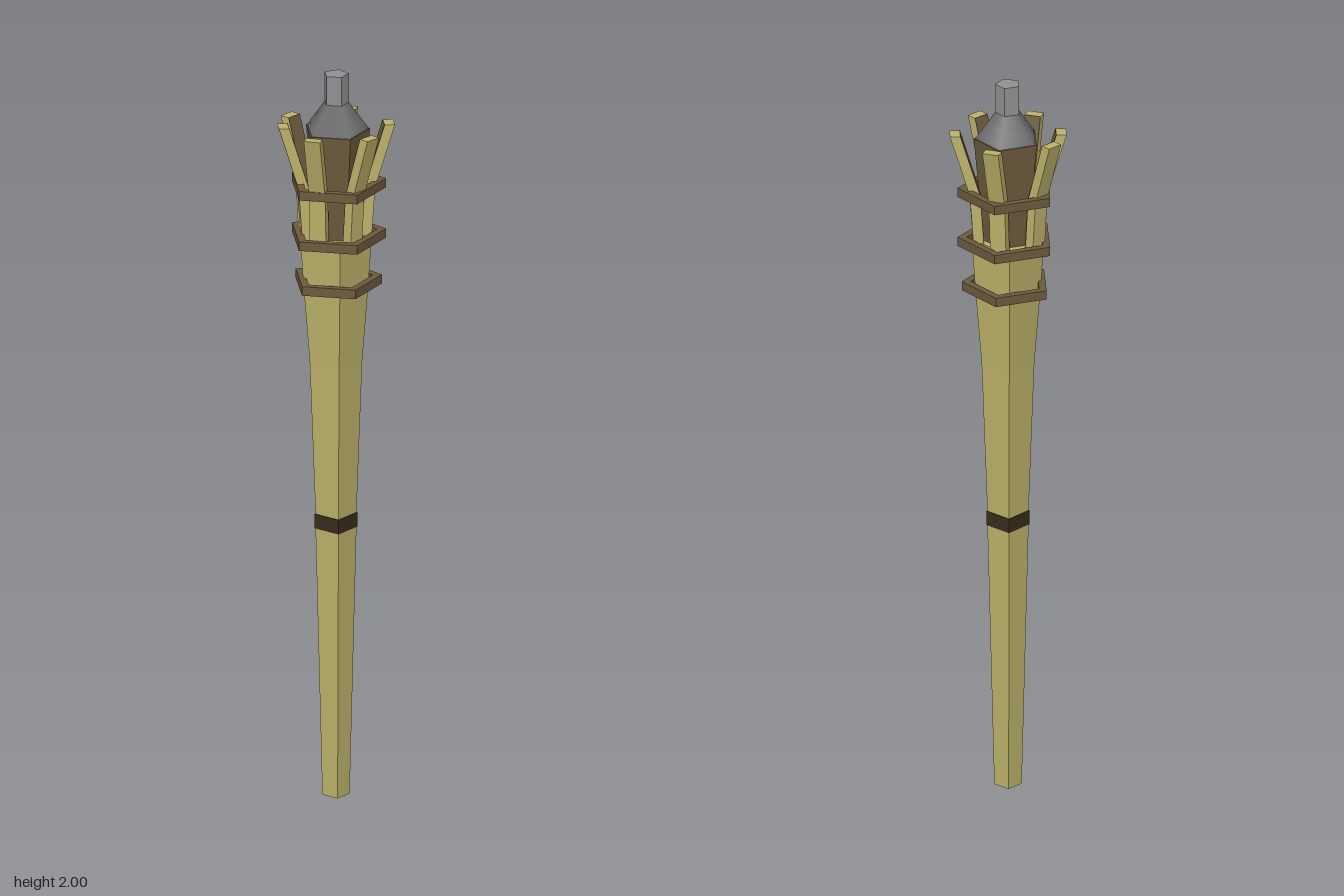
import * as THREE from 'three';

const mat = (name, color) => {
  const m = new THREE.MeshStandardMaterial({ color });
  m.name = name;
  return m;
};

export function createModel() {
  const torch = new THREE.Group();
  torch.name = 'torch';
  const bamboo = mat('bamboo', 0xbdb26a);
  const brown = mat('brown', 0x6b5a3c);
  const dark = mat('darkBinding', 0x382c1c);
  const iron = mat('iron', 0x6c6c6e);
  const steel = mat('steel', 0x909092);

  const add = (name, geometry, material, parent = torch) => {
    const mesh = new THREE.Mesh(geometry, material);
    mesh.name = name;
    parent.add(mesh);
    return mesh;
  };
  const flat = (geometry) => {
    const g = geometry.index ? geometry.toNonIndexed() : geometry;
    g.computeVertexNormals();
    return g;
  };
  // Few-sided turned solid; profile is [radius, height] pairs from the bottom up
  const turned = (profile, sides, start = 0) =>
    new THREE.LatheGeometry(profile.map(([r, y]) => new THREE.Vector2(r, y)), sides, start);
  const POINT_X = Math.PI / 2; // a pentagon corner faces +x

  // Four-sided tapering pole with a dark binding
  add('lowerPole', flat(turned([[0, 0], [0.036, 0], [0.054, 0.74]], 4)), bamboo);
  add('binding', flat(turned([[0.053, 0.74], [0.056, 0.74], [0.057, 0.78], [0.054, 0.78]], 4)), dark);
  add('upperPole', flat(turned([[0.054, 0.78], [0.069, 1.2], [0.086, 1.42], [0.095, 1.555], [0, 1.555]], 4)), bamboo);

  // Five-sided fuel cup
  add('cup', flat(turned([[0, 1.5], [0.06, 1.5], [0.068, 1.6], [0.09, 1.845], [0, 1.845]], 5, POINT_X)), brown);

  // Smooth metal cap and the wick holder on it
  add('cap', turned([[0.087, 1.843], [0.078, 1.858], [0.056, 1.888], [0.034, 1.92]], 5, POINT_X), iron);
  add('wickHolder', flat(turned([[0.034, 1.915], [0.034, 2], [0, 2]], 5, POINT_X)), steel);

  // Pentagonal hoops
  [[1.425, 0.121], [1.552, 0.132], [1.692, 0.132]].forEach(([y, r], i) => {
    const a = y - 0.0125, b = y + 0.0125, q = r - 0.024;
    add('hoop' + (i + 1), flat(turned([[r, a], [r, b], [q, b], [q, a], [r, a]], 5, POINT_X)), brown);
  });

  // Bent slats: side profile pushed out to the slat's width, brown on the inner face
  const WIDTH = 0.044;
  const slatGeometry = (points) => {
    const shape = new THREE.Shape(points.map(([x, y]) => new THREE.Vector2(x, y)));
    const g = new THREE.ExtrudeGeometry(shape, { depth: WIDTH, bevelEnabled: false });
    return g.translate(0, 0, -WIDTH / 2);
  };
  const path = [[-0.062, 1.545], [-0.052, 1.69], [0, 1.86]]; // centre line, relative to the top end
  const layer = (inner, outer) => slatGeometry([
    ...path.map(([x, y]) => [x + outer, y]),
    ...path.map(([x, y]) => [x + inner, y]).reverse(),
  ]);
  const body = layer(-0.012, 0.014);
  const lining = layer(-0.014, -0.012);

  // Top end x, z and the heading in degrees from +x towards +z
  [
    [0.139, 0, 0], [0.0735, 0.123, 50], [-0.0745, 0.121, 112],
    [-0.139, 0, 180], [-0.11, -0.088, 228], [0.048, -0.128, -68],
  ].forEach(([x, z, heading], i) => {
    const slat = new THREE.Group();
    slat.name = 'slat' + (i + 1);
    add('slatBody', body, bamboo, slat);
    add('slatLining', lining, brown, slat);
    slat.position.set(x, 0, z);
    slat.rotation.y = -THREE.MathUtils.degToRad(heading);
    torch.add(slat);
  });

  return torch;
}
